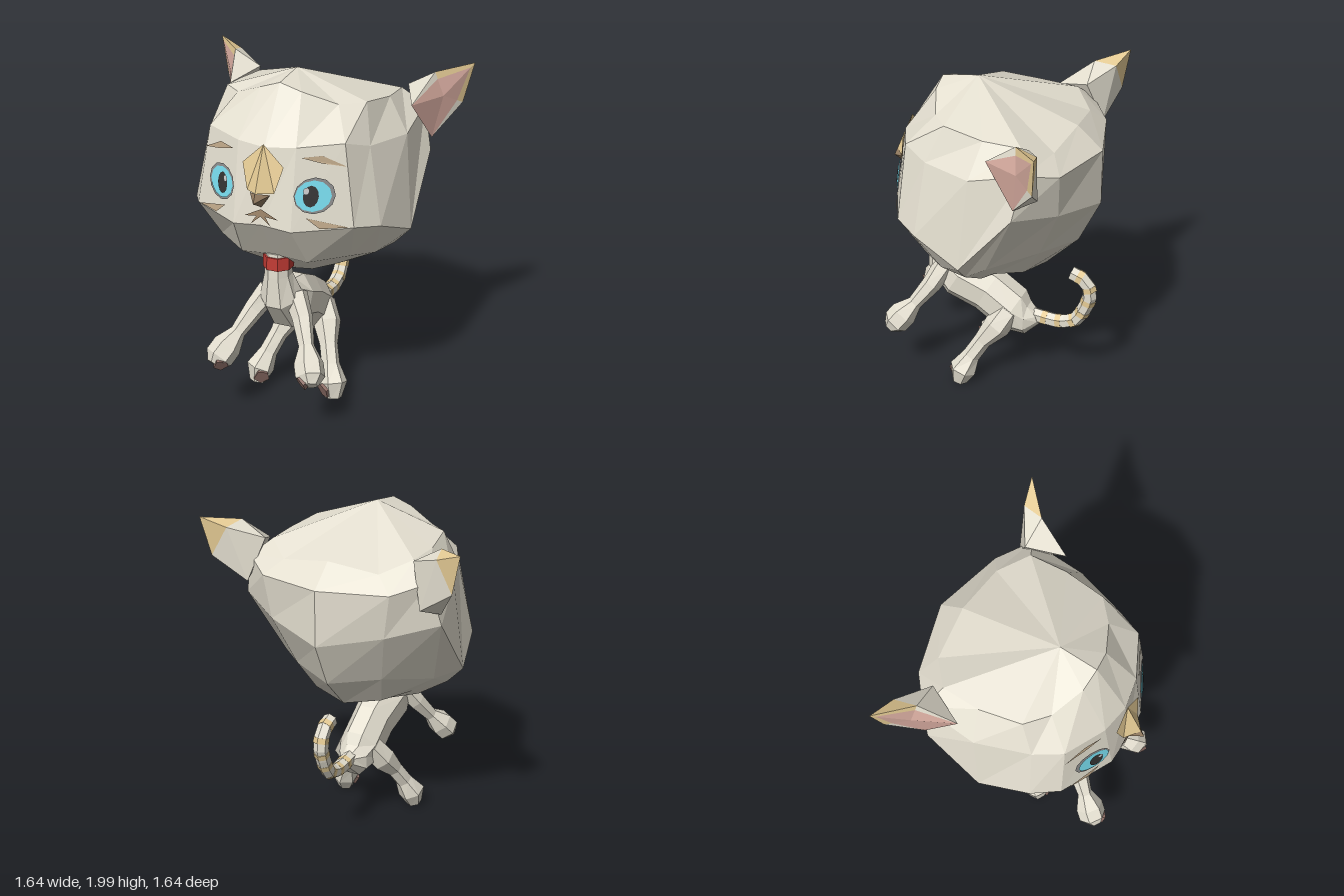
import * as THREE from 'three';

const V = (p) => new THREE.Vector3(...p);
const mat = (color) => new THREE.MeshStandardMaterial({ color, flatShading: true, side: THREE.DoubleSide });
const fur = mat(0xe4dfd0), cream = mat(0xe6cc95), pink = mat(0xd8aca0), sole = mat(0x8f7068);
const red = mat(0xc23b35), brown = mat(0x9a8266), tan = mat(0xc0a98a);
const rimGrey = mat(0x8a8a8a), cyan = mat(0x78dcee), black = mat(0x333333), white = mat(0xeeeeee);

function make(name, triangles, material) {
  const g = new THREE.BufferGeometry().setFromPoints(triangles);
  g.computeVertexNormals();
  const m = new THREE.Mesh(g, material);
  m.name = name;
  return m;
}

// Skin over a list of rings, closed by a pole at either end
function skin(name, rings, start, end, material = fur) {
  const t = [], n = rings[0].length;
  for (let j = 0; j < n; j++) {
    const k = (j + 1) % n;
    t.push(start, rings[0][k], rings[0][j]);
    for (let i = 0; i + 1 < rings.length; i++) {
      const a = rings[i], b = rings[i + 1];
      t.push(a[j], a[k], b[k], a[j], b[k], b[j]);
    }
    t.push(end, rings.at(-1)[j], rings.at(-1)[k]);
  }
  return make(name, t, material);
}

// Limb along points, each [x, y, z, side radius, other radius]
function limb(name, path, sides, material = fur) {
  const pts = path.map((p) => V(p.slice(0, 3)));
  const rings = pts.map((p, i) => {
    const t = pts[Math.min(i + 1, pts.length - 1)].clone().sub(pts[Math.max(i - 1, 0)]).normalize();
    const a = new THREE.Vector3(1, 0, 0).addScaledVector(t, -t.x).normalize();
    const b = t.clone().cross(a);
    const [, , , ra, rb = ra] = path[i];
    return Array.from({ length: sides }, (_, j) => {
      const q = ((j + 0.5) / sides) * Math.PI * 2;
      return p.clone().addScaledVector(a, ra * Math.cos(q)).addScaledVector(b, rb * Math.sin(q));
    });
  });
  return skin(name, rings, pts[0], pts.at(-1), material);
}

const polygon = (name, pts, material) => {
  const t = [];
  for (let i = 1; i + 1 < pts.length; i++) t.push(pts[0], pts[i], pts[i + 1]);
  return make(name, t, material);
};

// Half outlines of the head from the front round to the back, bottom row first
const HEAD = [
  [[0, .83, .38], [.12, .84, .37], [.24, .87, .31], [.33, .89, .24], [.36, .89, .15], [.36, .94, .07], [.22, .9, -.06], [0, .86, -.12]],
  [[0, 1.02, .63], [.2, 1.0, .62], [.4, 1.02, .48], [.49, 1.0, .34], [.54, 1.0, .17], [.5, 1.05, .06], [.28, 1.09, -.18], [0, 1.06, -.32]],
  [[0, 1.25, .78], [.17, 1.23, .77], [.47, 1.25, .615], [.566, 1.22, .467], [.636, 1.1, .17], [.63, 1.47, -.15], [.36, 1.4, -.32], [0, 1.33, -.45]],
  [[0, 1.67, .72], [.17, 1.68, .69], [.4, 1.7, .575], [.48, 1.65, .42], [.58, 1.64, .12], [.57, 1.72, -.2], [.4, 1.66, -.34], [0, 1.66, -.45]],
  [[0, 1.97, .52], [.12, 1.93, .51], [.3, 1.86, .43], [.42, 1.86, .325], [.46, 1.83, .08], [.45, 1.82, -.14], [.3, 1.75, -.27], [0, 1.79, -.3]],
];

export function createModel() {
  const root = new THREE.Group(), cat = new THREE.Group();
  root.name = 'kitten';
  cat.name = 'body parts';
  cat.rotation.y = -Math.PI / 4;
  root.add(cat);

  // Head
  const rings = HEAD.map((row) => [...row, ...row.slice(1, -1).reverse().map(([x, y, z]) => [-x, y, z])].map(V));
  const head = skin('head', rings, V([0, .79, .07]), V([0, 2, .3]));
  cat.add(head);

  // Flat markings laid onto the face
  const ray = new THREE.Raycaster();
  const onFace = (x, y, lift) => {
    ray.set(V([x, y, 3]), V([0, 0, -1]));
    return V([x, y, ray.intersectObject(head)[0].point.z + lift]);
  };
  const marking = (name, pts, material, lift = .008) =>
    cat.add(polygon(name, pts.map(([x, y]) => onFace(x, y, lift)), material));
  const disc = (name, x, y, rx, ry, material, lift) => {
    const ring = Array.from({ length: 13 }, (_, i) => {
      const a = (i / 12) * Math.PI * 2;
      return [x + rx * Math.cos(a), y + ry * Math.sin(a)];
    });
    marking(name, [[x, y], ...ring], material, lift);
  };

  // Nose and its raised bridge
  const bridge = [[.12, 1.58, .74], [.08, 1.44, .775], [0, 1.45, .84], [-.08, 1.44, .775], [-.12, 1.58, .74]];
  cat.add(polygon('noseBridge', [[0, 1.69, .73], ...bridge].map(V), cream));
  cat.add(skin('nose', [[[0, 1.35, .77], [.06, 1.43, .78], [0, 1.45, .84], [-.06, 1.43, .78]].map(V)],
    V([0, 1.4, .76]), V([0, 1.4, .865]), brown));

  for (const s of [1, -1]) {
    const side = s > 0 ? 'left' : 'right';
    const flip = ([x, ...r]) => [s * x, ...r];
    const at = (p) => V(flip(p));

    // Eye, brow, whisker and mouth
    disc(side + 'EyeRim', s * .276, 1.43, .1, .098, rimGrey, .01);
    disc(side + 'Iris', s * .272, 1.43, .088, .084, cyan, .015);
    disc(side + 'Pupil', s * .262, 1.43, .038, .058, black, .02);
    disc(side + 'EyeGlint', s * .24, 1.46, .014, .018, white, .025);
    marking(side + 'Brow', [[.2, 1.63], [.3, 1.64], [.42, 1.58], [.3, 1.6]].map(flip), tan);
    marking(side + 'Whisker', [[.24, 1.31], [.32, 1.27], [.45, 1.255], [.31, 1.25]].map(flip), tan);
    marking(side + 'Mouth', [[0, 1.34], [.1, 1.29], [.02, 1.3], [.06, 1.25], [0, 1.3]].map(flip), brown);

    // Ear: shell, coloured tip and inner lining
    const [A, F, tip, E, C, B, D] = [[.566, 1.77, .02], [.63, 1.92, -.18], [.81, 1.95, -.35], [.757, 1.72, -.32],
      [.63, 1.54, -.16], [.47, 1.83, -.19], [.55, 1.58, -.27]].map(at);
    const M = B.clone().lerp(tip, .55).add(V([0, 0, -.03]));
    const mid = A.clone().add(F).add(tip).add(E).add(C).divideScalar(5);
    const [f, t, e] = [[F, .3], [tip, .15], [E, .3]].map(([p, k]) => p.clone().lerp(mid, k));
    const ear = new THREE.Group();
    ear.name = side + 'Ear';
    ear.add(
      make('earShell', [A, B, F, B, M, F, B, D, M, D, E, M, D, C, E, A, C, D, A, D, B, A, F, f, C, e, E], fur),
      make('earTip', [F, M, tip, M, E, tip, F, tip, t, F, t, f, tip, E, e, tip, e, t], cream),
      polygon('earLining', [mid, A, f, t, e, C, A], pink));
    cat.add(ear);

    // Legs, with a pad on the inner front of each paw
    cat.add(limb(side + 'FrontLeg', [[.08, .74, .52, .07], [.15, .63, .58, .06], [.215, .51, .67, .045],
      [.255, .44, .73, .085], [.285, .385, .775, .085], [.3, .35, .81, .045]].map(flip), 6));
    cat.add(limb(side + 'HindLeg', [[.06, .5, .1, .08], [.12, .4, .16, .085], [.165, .3, .24, .055],
      [.205, .2, .3, .055], [.24, .11, .345, .085], [.25, .022, .365, .05]].map(flip), 6));
    cat.add(limb(side + 'FrontPad', [[.285, .39, .775, .03], [.247, .36, .825, .045]].map(flip), 5, sole));
    cat.add(limb(side + 'HindPad', [[.24, .1, .345, .03], [.2, .075, .41, .05]].map(flip), 5, sole));
  }

  // Torso from neck to rump
  cat.add(limb('torso', [[0, 1.02, .57, .075], [0, .88, .57, .08], [0, .75, .55, .12, .12], [0, .66, .44, .15, .17],
    [0, .58, .26, .13, .16], [0, .47, .1, .13, .16], [0, .43, 0, .1, .11], [0, .455, -.07, .045]], 8));
  cat.add(limb('collar', [[0, 1.0, .57, .086], [0, .925, .57, .088]], 8, red));

  // Curled tail with bands
  const curve = new THREE.CatmullRomCurve3([[0, .465, -.04], [0, .455, -.2], [0, .49, -.31], [0, .58, -.365],
    [0, .7, -.4], [0, .785, -.365], [0, .82, -.28]].map(V));
  const stretch = (from, to, n, r) => Array.from({ length: n + 1 }, (_, i) =>
    [...curve.getPointAt(from + (to - from) * (i / n)).toArray(), r]);
  cat.add(limb('tail', stretch(0, 1, 10, .045), 6));
  for (let i = 0; i < 7; i++) {
    const k = .08 + i * .135;
    cat.add(limb('tailBand', stretch(k, k + .05, 1, .047), 6, cream));
  }
  return root;
}
